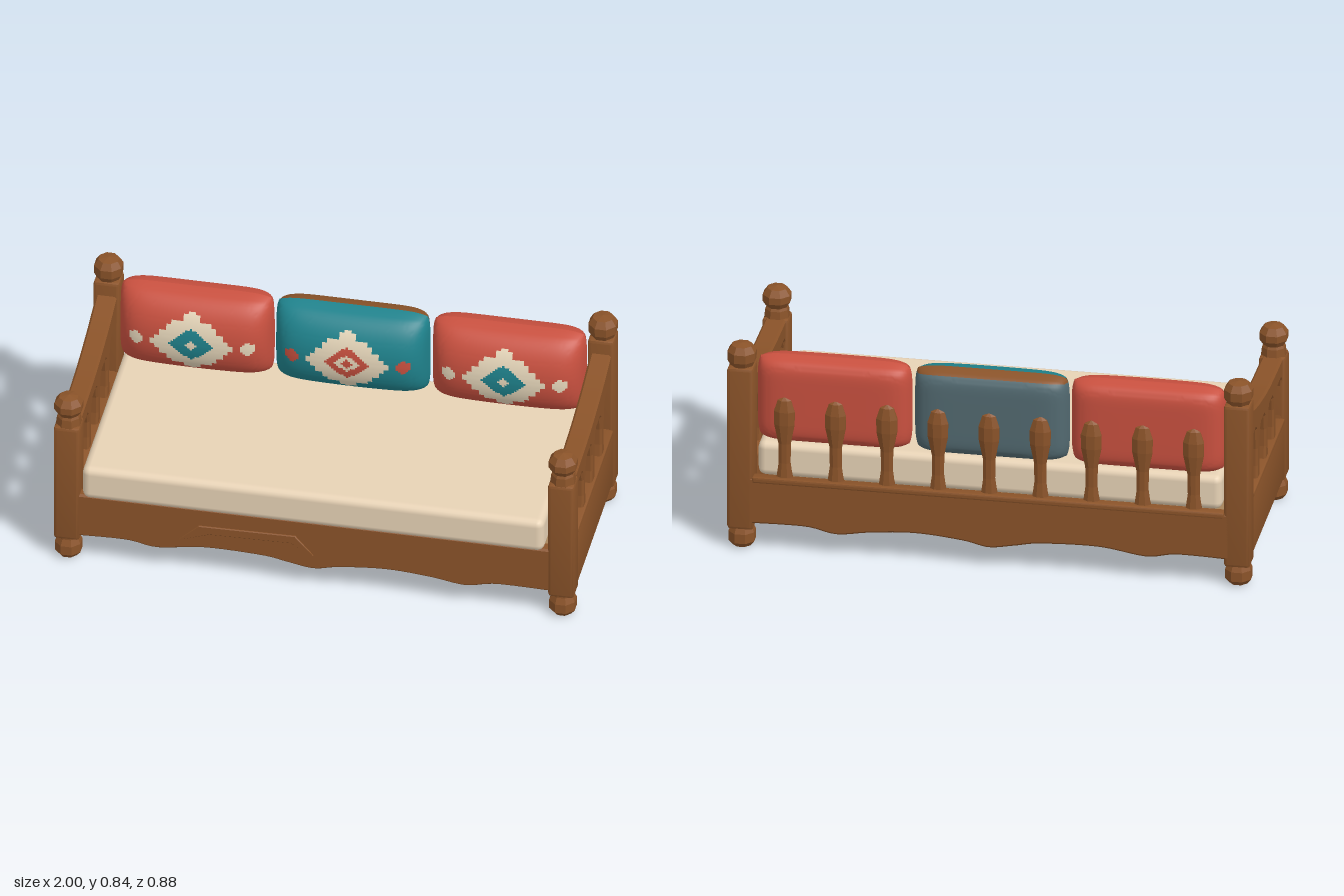
import * as THREE from 'three';
import { toCreasedNormals } from 'three/addons/utils/BufferGeometryUtils.js';
import { RoundedBoxGeometry } from 'three/addons/geometries/RoundedBoxGeometry.js';

const mat = (name, color) => Object.assign(new THREE.MeshStandardMaterial({ color }), { name });

export function createModel() {
  const wood = mat('wood', 0x8a5329);
  const red = mat('red fabric', 0xc8503f);
  const teal = mat('teal fabric', 0x1f828c);
  const slate = mat('slate backing', 0x526970);
  const linen = mat('mattress linen', 0xe8d3b6);
  const cream = mat('cream motif', 0xecdcbf);
  const under = mat('underside board', 0xa6845c);

  const model = new THREE.Group();
  model.name = 'daybed';
  const add = (name, geo, material, x = 0, y = 0, z = 0, parent = model) => {
    const m = new THREE.Mesh(geo, material);
    m.name = name;
    m.position.set(x, y, z);
    parent.add(m);
    return m;
  };
  const v2 = (pts) => pts.map(([x, y]) => new THREE.Vector2(x, y));

  // Faceted turned part from [radius, height] points
  const turned = (pts, sides = 8) => {
    const g = new THREE.LatheGeometry(v2(pts), sides).toNonIndexed();
    g.rotateY(Math.PI / sides);
    g.computeVertexNormals();
    return g;
  };
  // Chamfered board cut from a shape, centred on its thickness
  const board = (shape, depth, bevel = 0.008) => {
    const g = new THREE.ExtrudeGeometry(shape, {
      depth: depth - 2 * bevel, bevelThickness: bevel, bevelSize: bevel,
      bevelOffset: -bevel, bevelSegments: 1, curveSegments: 5,
    });
    return g.translate(0, 0, bevel - depth / 2);
  };
  const block = (w, h, d, r = 0.012) => toCreasedNormals(new RoundedBoxGeometry(w, h, d, 1, r), 0.4);

  // Corner posts with ball feet and knobs
  const footGeo = turned([[0, 0], [0.036, 0.002], [0.053, 0.022], [0.053, 0.06], [0.042, 0.085], [0.042, 0.11]]);
  const frontKnob = turned([[0.05, 0], [0.046, 0.035], [0.041, 0.045], [0.056, 0.068], [0.056, 0.095], [0.038, 0.12], [0, 0.128]]);
  const backKnob = turned([[0.043, 0], [0.056, 0.025], [0.057, 0.06], [0.04, 0.085], [0, 0.092]]);
  const frontPost = block(0.1, 0.51, 0.096);
  const backPost = block(0.1, 0.67, 0.1);

  // Arm side in z and y: curved top rail, three openings, and a fourth open towards the back post
  const arm = new THREE.Shape();
  arm.moveTo(0.36, 0.1);
  arm.lineTo(0.36, 0.6);
  arm.splineThru(v2([[0.25, 0.603], [0.1, 0.61], [0, 0.62], [-0.1, 0.636], [-0.2, 0.656], [-0.33, 0.692], [-0.36, 0.7]]));
  for (const [z, y] of [[-0.36, 0.565], [-0.24, 0.575], [-0.216, 0.557], [-0.2, 0.47], [-0.2, 0.4],
    [-0.207, 0.35], [-0.36, 0.35], [-0.36, 0.1]]) arm.lineTo(z, y);
  const openings = [[0.19, 0.322, 0.53], [0.026, 0.138, 0.54], [-0.15, -0.032, 0.548]];
  for (const [a, b, top] of openings) {
    arm.holes.push(new THREE.Path(v2([
      [a, 0.35], [b, 0.35], [b + 0.007, 0.4], [b + 0.007, 0.47], [b - 0.006, top - 0.018], [b - 0.025, top],
      [a + 0.025, top], [a + 0.006, top - 0.018], [a - 0.007, 0.47], [a - 0.007, 0.4],
    ])));
  }
  const armGeo = board(arm, 0.08).rotateY(-Math.PI / 2);

  for (const s of [1, -1]) {
    const side = new THREE.Group();
    side.name = s > 0 ? 'leftSide' : 'rightSide';
    model.add(side);
    const x = s * 0.947;
    add('armPanel', armGeo, wood, x, 0, 0, side);
    add('lowerArmPanel', block(0.095, 0.25, 0.68), wood, x, 0.225, 0.01, side);
    add('armSill', block(0.1, 0.018, 0.66, 0.006), wood, x, 0.342, 0, side);
    add('frontPost', frontPost, wood, x, 0.345, 0.372, side);
    add('frontKnob', frontKnob, wood, x, 0.596, 0.369, side);
    add('frontFoot', footGeo, wood, x, 0, 0.374, side);
    add('backPost', backPost, wood, x, 0.415, -0.38, side);
    add('backKnob', backKnob, wood, x, 0.746, -0.38, side);
    add('backFoot', footGeo, wood, x, 0, -0.379, side);
  }

  // Front and back aprons with wavy lower edges
  const apron = new THREE.Shape();
  apron.moveTo(-0.92, 0.3);
  apron.lineTo(-0.92, 0.11);
  apron.splineThru(v2([[-0.72, 0.115], [-0.6, 0.097], [-0.42, 0.122], [-0.2, 0.117], [-0.1, 0.1], [0, 0.085],
    [0.1, 0.105], [0.28, 0.12], [0.45, 0.108], [0.58, 0.09], [0.7, 0.112], [0.92, 0.11]]));
  apron.lineTo(0.92, 0.3);
  add('frontApron', board(apron, 0.05), wood, 0, 0, 0.39);
  add('backApron', board(apron, 0.05), wood, 0, 0, -0.405);
  add('backLedge', block(1.8, 0.025, 0.045, 0.008), wood, 0, 0.295, -0.417);
  const carving = new THREE.Shape(v2([[-0.52, 0.15], [-0.44, 0.225], [-0.07, 0.23], [0, 0.15], [-0.09, 0.195], [-0.4, 0.19]]));
  add('apronCarving', board(carving, 0.009, 0.003), wood, 0, 0, 0.416);

  // Base board and mattress
  add('baseBoard', new THREE.BoxGeometry(1.82, 0.03, 0.78), under, 0, 0.14, -0.005);
  add('mattress', new RoundedBoxGeometry(1.77, 0.142, 0.84, 2, 0.03), linen, 0, 0.368, 0.018);

  // Back spindles, swelling to a rounded top
  const spindle = turned([[0.034, 0], [0.024, 0.07], [0.025, 0.15], [0.042, 0.23], [0.043, 0.285], [0.028, 0.33], [0, 0.345]]);
  for (let i = -4; i <= 4; i++) {
    add('backSpindle', spindle, wood, i * 0.195, 0.295, -0.405).scale.z = 0.6;
  }

  // Cushion half as a grid; pick(x, y, v) returns the material slot of each cell
  const W = 0.295, H = 0.174, NX = 65, NY = 41;
  const halfCushion = (front, pick, slots) => {
    const point = (i, j) => {
      const u = (2 * i) / NX - 1, v = (2 * j) / NY - 1;
      const swell = front
        ? (0.135 - 0.025 * u * u) * Math.sqrt(1 - u ** 8) * (1 - v * v) ** 0.45
        : -0.075 * Math.sqrt((1 - u ** 8) * (1 - v ** 8));
      return [W * u * (1 - 0.04 * v ** 6), H * v * (1 - 0.08 * u ** 8), swell];
    };
    const cells = Array.from({ length: slots }, () => []);
    for (let j = 0; j < NY; j++) for (let i = 0; i < NX; i++) {
      const a = point(i, j), b = point(i + 1, j), c = point(i + 1, j + 1), d = point(i, j + 1);
      const u = (2 * i + 1) / NX - 1, v = (2 * j + 1) / NY - 1;
      const tris = front ? [a, b, c, a, c, d] : [a, c, b, a, d, c];
      cells[pick(W * u, H * v, v)].push(...tris.flat());
    }
    const g = new THREE.BufferGeometry();
    g.setAttribute('position', new THREE.Float32BufferAttribute(cells.flat(), 3));
    let start = 0;
    cells.forEach((c, k) => {
      g.addGroup(start, c.length / 3, k);
      start += c.length / 3;
    });
    return toCreasedNormals(g, 0.7);
  };

  // Diamond motif with a stepped rim: slot 0 ground, 1 cream, 2 accent, 3 dots
  const step = (n) => Math.round(n / 0.022) * 0.022;
  const motif = (ringed) => (px, py) => {
    const x = Math.abs(px), y = Math.abs(py + 0.008);
    if (Math.hypot(x - 0.215, y) < 0.027) return 3;
    if (x > 0.158 || y > 0.13 || step(x) / 0.178 + step(y) / 0.146 > 1) return 0;
    const d = x / 0.09 + y / 0.074;
    if (d > 1) return 1;
    if (ringed) return d > 0.54 || d < 0.25 ? 2 : 1;
    return d > 0.3 ? 2 : 1;
  };
  const cushions = [
    ['rightCushion', -0.597, red, teal, cream, red],
    ['middleCushion', 0, teal, red, red, slate],
    ['leftCushion', 0.6, red, teal, cream, red],
  ];
  for (const [name, x, ground, accent, dots, backing] of cushions) {
    const cushion = new THREE.Group();
    cushion.name = name;
    cushion.position.set(x, 0.61, -0.335);
    model.add(cushion);
    const middle = ground === teal;
    add('cushionFront', halfCushion(true, motif(middle), 4), [ground, cream, accent, dots], 0, 0, 0, cushion);
    // The middle cushion carries a wooden cap along its upper back edge
    add('cushionBack', halfCushion(false, (cx, cy, v) => (v > 0.9 ? 1 : 0), 2),
      [backing, middle ? wood : backing], 0, 0, 0, cushion);
  }
  return model;
}
